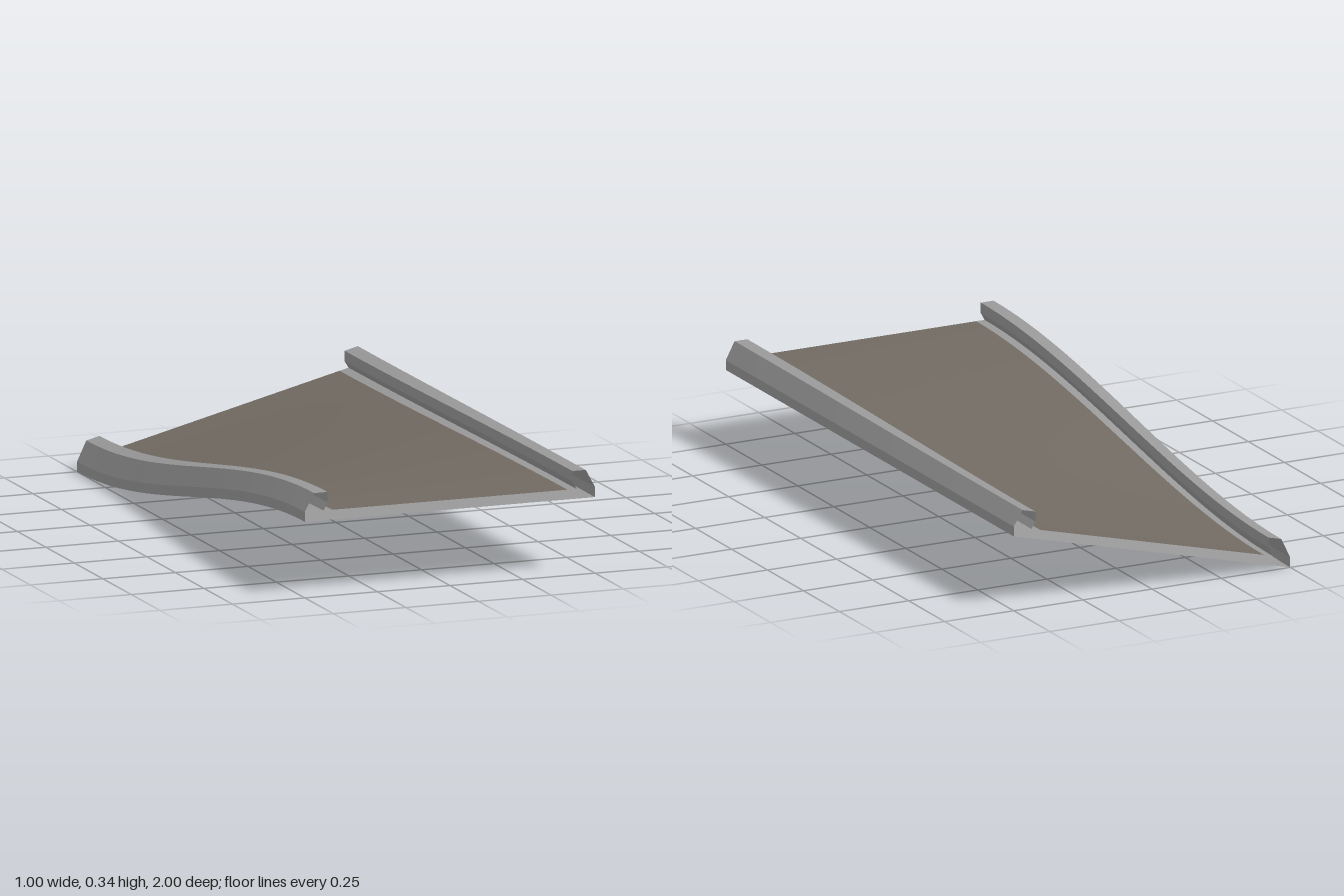
import * as THREE from 'three';

const STEPS = 32;
const DROP = 0.25;

// Height lost at a point: level at the front, banked towards -x at the back
function bank(x, z) {
  const t = (1 - z) / 2;
  return DROP * t * t * (3 - 2 * t) * (0.5 - x);
}

// Sweeps a cross-section from front to back; each profile edge keeps a sharp crease
function sweep(points) {
  const pos = [], index = [];
  for (let e = 0; e < points.length - 1; e++) {
    const base = pos.length / 3;
    for (let i = 0; i <= STEPS; i++) {
      const z = 1 - (2 * i) / STEPS;
      for (const [x, y] of [points[e], points[e + 1]]) pos.push(x, y - bank(x, z), z);
      if (i < STEPS) {
        const a = base + i * 2;
        index.push(a, a + 2, a + 1, a + 1, a + 2, a + 3);
      }
    }
  }
  const g = new THREE.BufferGeometry();
  g.setAttribute('position', new THREE.Float32BufferAttribute(pos, 3));
  g.setIndex(index);
  g.computeVertexNormals();
  return g;
}

export function createModel() {
  const group = new THREE.Group();
  const concrete = new THREE.MeshStandardMaterial({ color: 0x999999, side: THREE.DoubleSide });
  concrete.name = 'concrete grey';
  const asphalt = new THREE.MeshStandardMaterial({ color: 0x716a62, side: THREE.DoubleSide });
  asphalt.name = 'asphalt brown';

  const add = (name, points, material) => {
    const mesh = new THREE.Mesh(sweep(points), material);
    mesh.name = name;
    group.add(mesh);
  };

  // Hollow side barrier with an overhanging inner lip, then the road shoulder
  const barrier = [
    [0.5, 0.25], [0.5, 0.283], [0.468, 0.342], [0.422, 0.342],
    [0.422, 0.308], [0.436, 0.282], [0.405, 0.282],
  ];
  const mirrored = barrier.map(([x, y]) => [-x, y]).reverse();
  add('leftBarrier', barrier, concrete);
  add('rightBarrier', mirrored, concrete);

  // Road surface and underside, open at both ends
  add('roadSurface', [[0.405, 0.282], [-0.405, 0.282]], asphalt);
  add('underside', [[-0.5, 0.25], [0.5, 0.25]], concrete);

  return group;
}
